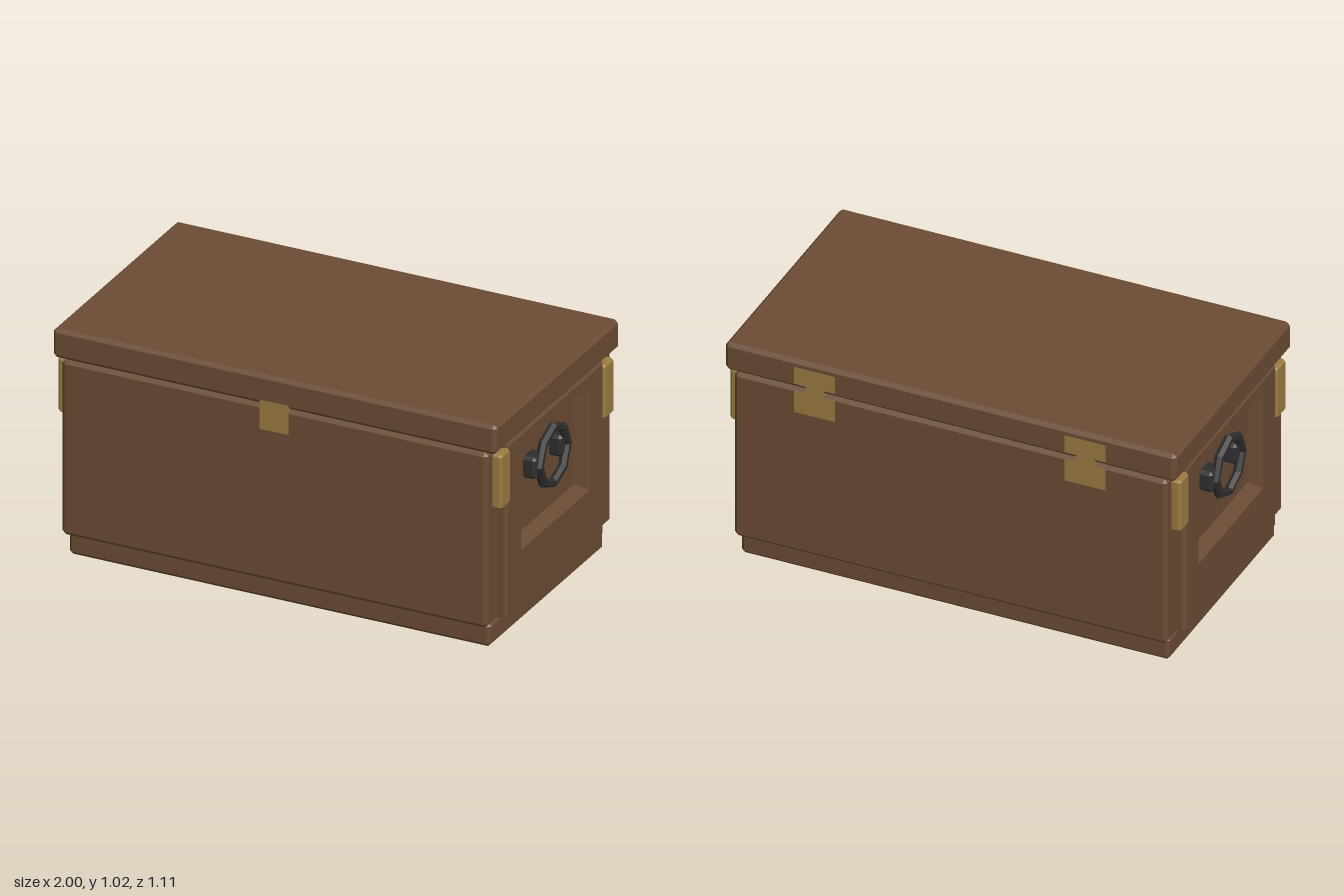
import * as THREE from 'three';
import { ConvexGeometry } from 'three/addons/geometries/ConvexGeometry.js';

const wood = new THREE.MeshStandardMaterial({ color: 0x6b4b34, flatShading: true });
const brass = new THREE.MeshStandardMaterial({ color: 0x9a7a40, flatShading: true });
const iron = new THREE.MeshStandardMaterial({ color: 0x2e2e2e, flatShading: true });

// Box with chamfered edges, given by its minimum and maximum corners
function chamferBox(name, material, min, max, c) {
  const center = min.map((v, i) => (v + max[i]) / 2);
  const half = min.map((v, i) => (max[i] - v) / 2);
  const points = [];
  for (const sx of [-1, 1]) for (const sy of [-1, 1]) for (const sz of [-1, 1]) {
    for (let axis = 0; axis < 3; axis++) {
      const p = [sx, sy, sz].map((s, i) => s * (half[i] - (i === axis ? 0 : c)));
      points.push(new THREE.Vector3(...p));
    }
  }
  const mesh = new THREE.Mesh(new ConvexGeometry(points), material);
  mesh.position.set(...center);
  mesh.name = name;
  return mesh;
}

// Thin plate, given by centre and size
function plate(name, x, y, z, w, h, d) {
  const mesh = new THREE.Mesh(new THREE.BoxGeometry(w, h, d), brass);
  mesh.position.set(x, y, z);
  mesh.name = name;
  return mesh;
}

// End panel with chamfered rim and sunken tray, facing +x
function recessedPanel() {
  // Rectangular loops: x, half depth, bottom, top
  const loops = [
    [0.86, 0.42, 0.12, 0.875], [0.875, 0.435, 0.105, 0.89],
    [0.975, 0.435, 0.105, 0.89], [0.99, 0.42, 0.12, 0.875],
    [0.99, 0.31, 0.36, 0.83], [0.925, 0.29, 0.378, 0.812],
  ];
  const positions = [];
  const index = [];
  for (const [x, hz, y0, y1] of loops) {
    positions.push(x, y0, hz, x, y0, -hz, x, y1, -hz, x, y1, hz);
  }
  for (let i = 0; i < loops.length - 1; i++) {
    for (let j = 0; j < 4; j++) {
      const a = i * 4 + j, b = i * 4 + (j + 1) % 4;
      index.push(a, b, b + 4, a, b + 4, a + 4);
    }
  }
  const n = (loops.length - 1) * 4;
  index.push(0, 2, 1, 0, 3, 2, n, n + 1, n + 2, n, n + 2, n + 3);
  const indexed = new THREE.BufferGeometry();
  indexed.setAttribute('position', new THREE.Float32BufferAttribute(positions, 3));
  indexed.setIndex(index);
  const geometry = indexed.toNonIndexed();
  geometry.computeVertexNormals();
  const mesh = new THREE.Mesh(geometry, wood);
  mesh.name = 'endPanel';
  return mesh;
}

// One end of the chest: panel, ring handle and corner plates
function chestEnd() {
  const end = new THREE.Group();
  end.add(recessedPanel());

  const handle = new THREE.Group();
  handle.name = 'handle';
  const ring = new THREE.Mesh(new THREE.TorusGeometry(0.125, 0.02, 6, 8), iron);
  ring.rotation.y = Math.PI / 2;
  ring.position.set(0.978, 0.65, 0);
  ring.name = 'handleRing';
  handle.add(ring);
  for (const s of [-1, 1]) {
    const z = s * 0.115;
    handle.add(chamferBox('handleBracket', iron, [0.91, 0.602, z - 0.046], [0.98, 0.7, z + 0.046], 0.014));
    const p = s * 0.4625;
    end.add(chamferBox('cornerPlate', brass, [0.93, 0.625, p - 0.043], [1, 0.87, p + 0.043], 0.01));
  }
  end.add(handle);
  return end;
}

export function createModel() {
  const chest = new THREE.Group();
  chest.name = 'chest';

  // Lid, base and long panels
  chest.add(chamferBox('base', wood, [-0.95, 0, -0.51], [0.95, 0.105, 0.51], 0.015));
  chest.add(chamferBox('lid', wood, [-1, 0.89, -0.555], [1, 1.022, 0.555], 0.016));
  chest.add(chamferBox('frontPanel', wood, [-0.96, 0.105, 0.435], [0.96, 0.89, 0.555], 0.016));
  chest.add(chamferBox('backPanel', wood, [-0.96, 0.105, -0.555], [0.96, 0.89, -0.435], 0.016));

  // Two matching ends
  ['leftEnd', 'rightEnd'].forEach((name, i) => {
    const end = chestEnd();
    end.name = name;
    end.rotation.y = i * Math.PI;
    chest.add(end);
  });

  // Front latch
  chest.add(plate('latch', 0, 0.845, 0.541, 0.13, 0.13, 0.03));

  // Back hinges: two leaves joined by a narrow knuckle
  for (const s of [-1, 1]) {
    const hinge = new THREE.Group();
    hinge.name = 'hinge';
    hinge.add(plate('upperLeaf', 0, 0.95, -0.541, 0.18, 0.08, 0.03));
    hinge.add(plate('knuckle', 0, 0.89, -0.541, 0.08, 0.06, 0.03));
    hinge.add(plate('lowerLeaf', 0, 0.825, -0.541, 0.18, 0.1, 0.03));
    hinge.position.x = s * 0.6;
    chest.add(hinge);
  }
  return chest;
}
